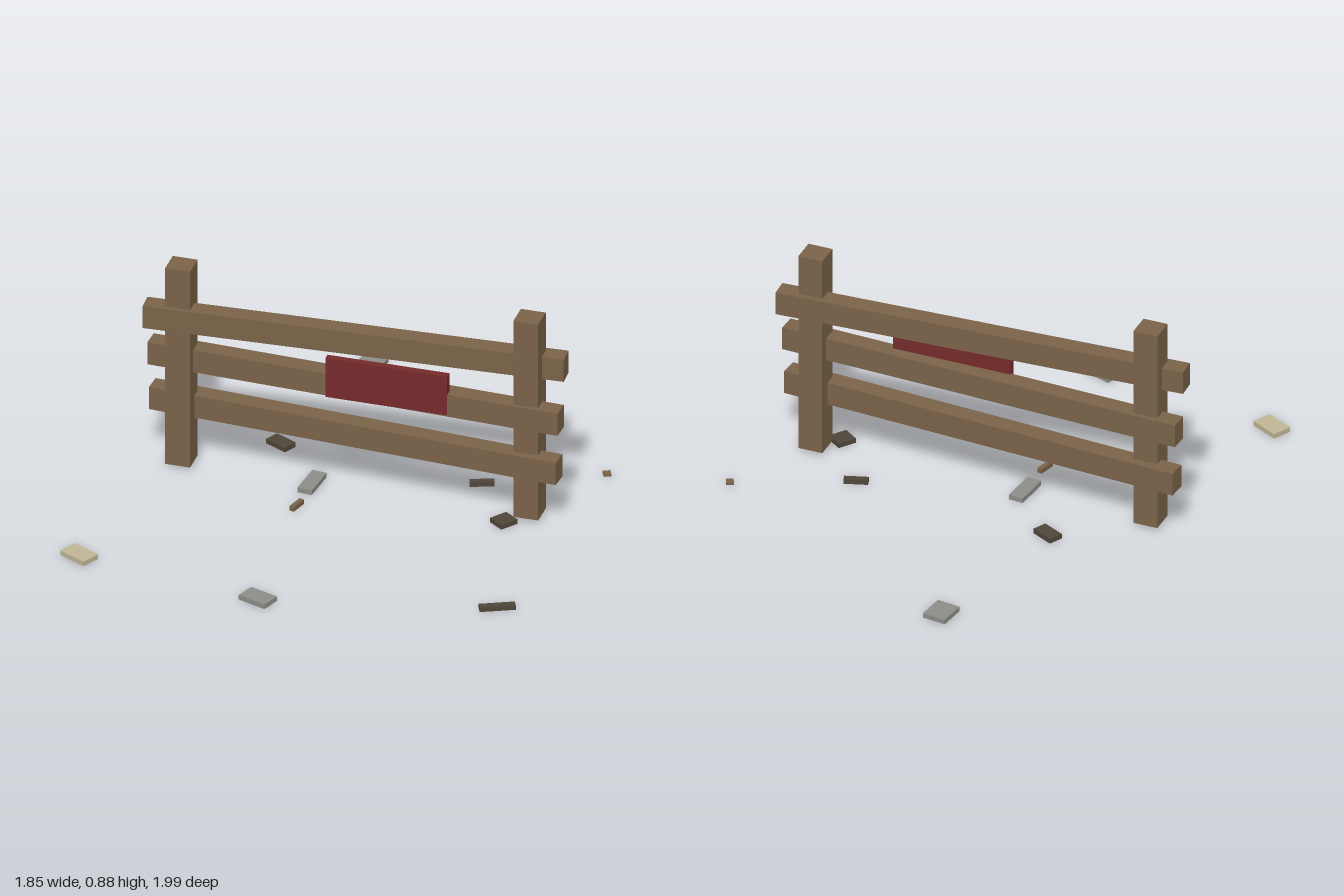
import * as THREE from 'three';

const flat = (name, color) => {
  const m = new THREE.MeshStandardMaterial({ color });
  m.name = name;
  return m;
};

export function createModel() {
  const wood = flat('brown wood', 0x7a6349);
  const darkWood = flat('dark wood', 0x50463a);
  const red = flat('red paint', 0x752a2b);
  const grey = flat('grey stone', 0x8c8c88);
  const tan = flat('tan stone', 0xbfb696);

  const fence = new THREE.Group();
  fence.name = 'brokenFence';

  const box = (name, material, [w, h, d], [x, y, z], turn = 0) => {
    const mesh = new THREE.Mesh(new THREE.BoxGeometry(w, h, d), material);
    mesh.name = name;
    mesh.position.set(x, y, z);
    mesh.rotation.y = turn;
    fence.add(mesh);
  };

  // Upright posts
  box('rightPost', wood, [0.1, 0.865, 0.1], [-0.695, 0.447, 0]);
  box('leftPost', wood, [0.1, 0.865, 0.1], [0.705, 0.447, 0]);

  // Three rails, each slightly skewed: [height, turn]
  [[0.662, 0.045], [0.462, -0.042], [0.254, -0.064]].forEach(([y, turn], i) =>
    box(['topRail', 'middleRail', 'bottomRail'][i], wood, [1.672, 0.097, 0.075], [0.005, y, -0.002], turn));

  // Painted sign board
  box('signBoard', red, [0.49, 0.17, 0.03], [0.145, 0.505, 0.038]);

  // Scattered debris on the ground: [name, material, width, depth, x, z, turn]
  [
    ['stoneSlab', grey, 0.097, 0.113, -0.22, -0.935, -0.137],
    ['stoneSlab', grey, 0.06, 0.15, -0.165, 0.015, -0.09],
    ['stoneSlab', grey, 0.124, 0.08, -0.1, 0.935, -0.35],
    ['tanSlab', tan, 0.125, 0.08, -0.855, 0.815, -0.48],
    ['darkPlank', darkWood, 0.1, 0.06, -0.37, -0.245, -0.48],
    ['darkPlank', darkWood, 0.095, 0.027, 0.46, -0.175, 0.31],
    ['darkPlank', darkWood, 0.072, 0.077, 0.627, 0.083, -0.63],
    ['darkPlank', darkWood, 0.14, 0.03, 0.8, 0.73, 0.43],
    ['splinter', wood, 0.02, 0.072, -0.17, 0.2, -0.27],
  ].forEach(([name, material, w, d, x, z, turn]) =>
    box(name, material, [w, 0.02, d], [x, 0.01, z], turn));

  // Small wood chip
  box('woodChip', wood, [0.03, 0.008, 0.034], [0.9, 0.013, -0.38], 0.46);

  return fence;
}
